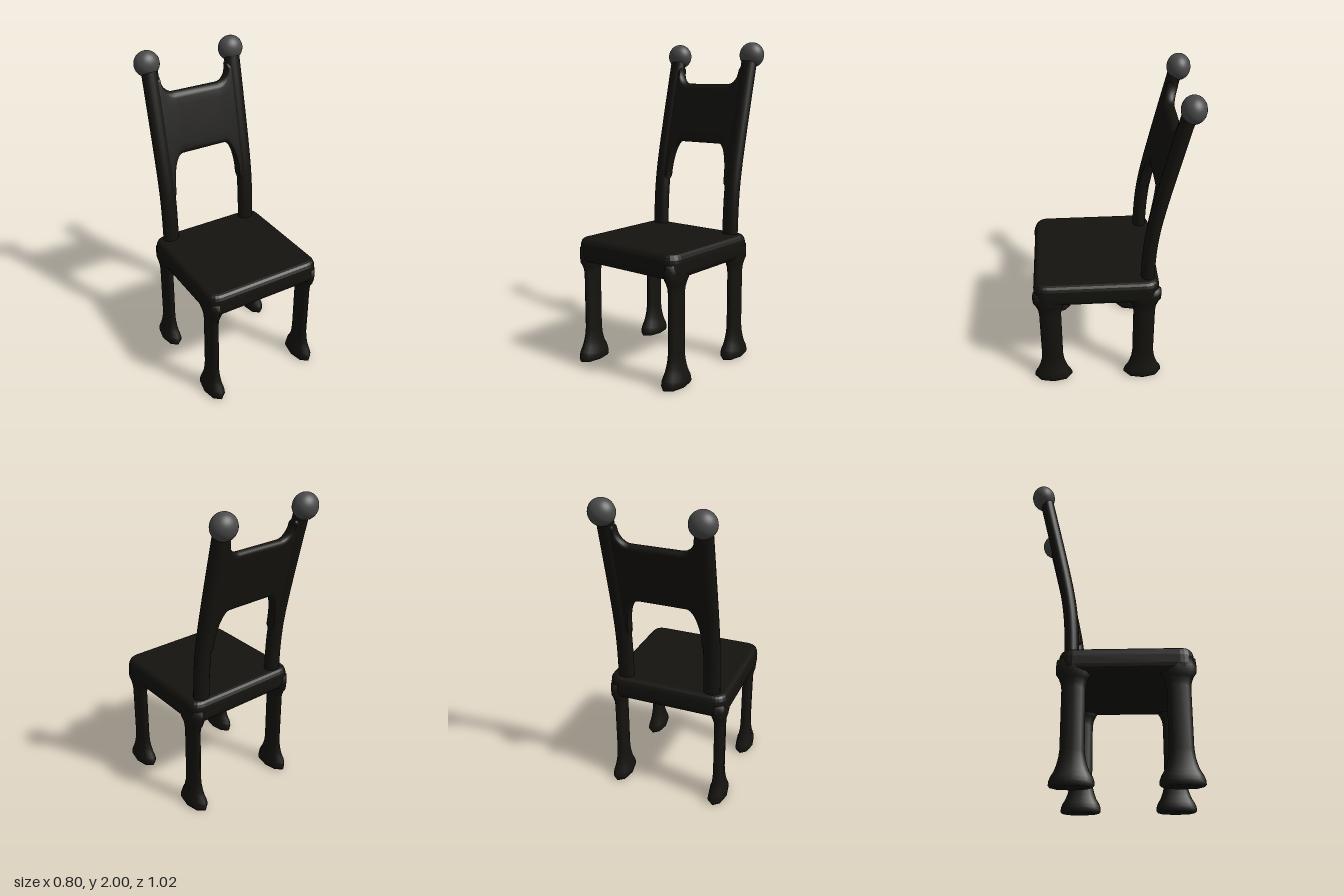
import * as THREE from 'three';

const black = new THREE.MeshStandardMaterial({ color: 0x14130f });
const grey = new THREE.MeshStandardMaterial({ color: 0x4a4a4a });

// Backward sweep of the backrest at height y
const sweep = (y) => -0.222 - 0.12 * (y - 1.08 + Math.hypot(y - 1.08, 0.2));

// Skin a list of closed rings (counter-clockwise seen from the end of the loft)
function loft(rings) {
  const n = rings[0].length;
  const index = [];
  for (let i = 0; i < rings.length - 1; i++) {
    for (let j = 0; j < n; j++) {
      const k = (j + 1) % n;
      const a = i * n + j, b = i * n + k;
      index.push(a, b, b + n, a, b + n, a + n);
    }
  }
  const geo = new THREE.BufferGeometry();
  geo.setAttribute('position', new THREE.Float32BufferAttribute(rings.flat(2), 3));
  geo.setIndex(index);
  geo.computeVertexNormals();
  return geo;
}

// Round post following the sweep
function postGeometry() {
  const rings = [];
  for (let i = 0; i <= 20; i++) {
    const y = 0.76 + (i / 20) * 1.13;
    const ring = [];
    for (let j = 0; j < 20; j++) {
      const t = (j / 20) * Math.PI * 2;
      ring.push([0.052 * Math.sin(t), y, sweep(y) + 0.043 * Math.cos(t)]);
    }
    rings.push(ring);
  }
  return loft(rings);
}

// Rounded panel section at x, between heights lo and hi
function panelRing(x, lo, hi) {
  const r = 0.034, ring = [];
  const bottom = lo + r, top = hi - r;
  const add = (y, z) => ring.push([x, y, sweep(y) + z]);
  const arc = (centre, from) => {
    for (let i = 0; i <= 8; i++) {
      const t = from + (i / 8) * Math.PI;
      add(centre + r * Math.cos(t), r * Math.sin(t));
    }
  };
  arc(bottom, Math.PI / 2);
  for (let i = 1; i < 8; i++) add(bottom + (top - bottom) * i / 8, -r);
  arc(top, Math.PI * 1.5);
  for (let i = 1; i < 8; i++) add(top + (bottom - top) * i / 8, r);
  return ring;
}

// Panel whose upper and lower edges sweep into the posts
function panelGeometry() {
  const half = [];
  for (let i = 0; i <= 10; i++) {
    const a = (i / 10) * Math.PI / 2;
    const rise = 1 - Math.cos(a);
    half.push([0.15 + 0.087 * Math.sin(a), 1.36 - 0.26 * rise, 1.74 + 0.11 * rise]);
  }
  half.push([0.27, 1.1, 1.85]);
  const left = half.map(([x, lo, hi]) => panelRing(x, lo, hi));
  const right = half.map(([x, lo, hi]) => panelRing(-x, lo, hi)).reverse();
  return loft([...right, ...left]);
}

// Softly bevelled seat slab
function seatGeometry() {
  const bevel = 0.035, h = 0.39 - bevel, c = 0.05;
  const s = new THREE.Shape();
  s.moveTo(-h + c, -h);
  s.lineTo(h - c, -h);
  s.quadraticCurveTo(h, -h, h, -h + c);
  s.lineTo(h, h - c);
  s.quadraticCurveTo(h, h, h - c, h);
  s.lineTo(-h + c, h);
  s.quadraticCurveTo(-h, h, -h, h - c);
  s.lineTo(-h, -h + c);
  s.quadraticCurveTo(-h, -h, -h + c, -h);
  const geo = new THREE.ExtrudeGeometry(s, {
    depth: 0.05, bevelThickness: 0.05, bevelSize: bevel, bevelSegments: 4, curveSegments: 5,
  });
  geo.rotateX(-Math.PI / 2);
  geo.translate(0, 0.70, 0.09);
  return geo;
}

// Eight-sided leg with a splayed foot and a flare under the seat
function legGeometry() {
  const profile = [
    [0, 0], [0.115, 0], [0.125, 0.012], [0.124, 0.035], [0.115, 0.06], [0.097, 0.09],
    [0.084, 0.125], [0.074, 0.165], [0.069, 0.21], [0.069, 0.56], [0.074, 0.595],
    [0.086, 0.625], [0.102, 0.65], [0.105, 0.69], [0.1, 0.74], [0, 0.74],
  ].map(([r, y]) => new THREE.Vector2(r, y));
  return new THREE.LatheGeometry(profile, 8).scale(0.48, 1, 1);
}

export function createModel() {
  const chair = new THREE.Group();
  chair.name = 'chair';
  const add = (name, geo, mat, x = 0, y = 0, z = 0) => {
    const mesh = new THREE.Mesh(geo, mat);
    mesh.name = name;
    mesh.position.set(x, y, z);
    chair.add(mesh);
    return mesh;
  };

  add('seat', seatGeometry(), black);
  add('backPanel', panelGeometry(), black);

  const leg = legGeometry();
  const post = postGeometry();
  const ball = new THREE.SphereGeometry(1, 28, 20).scale(0.08, 0.079, 0.071);
  for (const [side, sx] of [['left', 1], ['right', -1]]) {
    add(side + 'FrontLeg', leg, black, sx * 0.34, 0, 0.385);
    add(side + 'BackLeg', leg, black, sx * 0.34, 0, -0.21);
    add(side + 'BackPost', post, black, sx * 0.286);
    add(side + 'Finial', ball, grey, sx * 0.29, 1.921, -0.44);
  }
  return chair;
}
